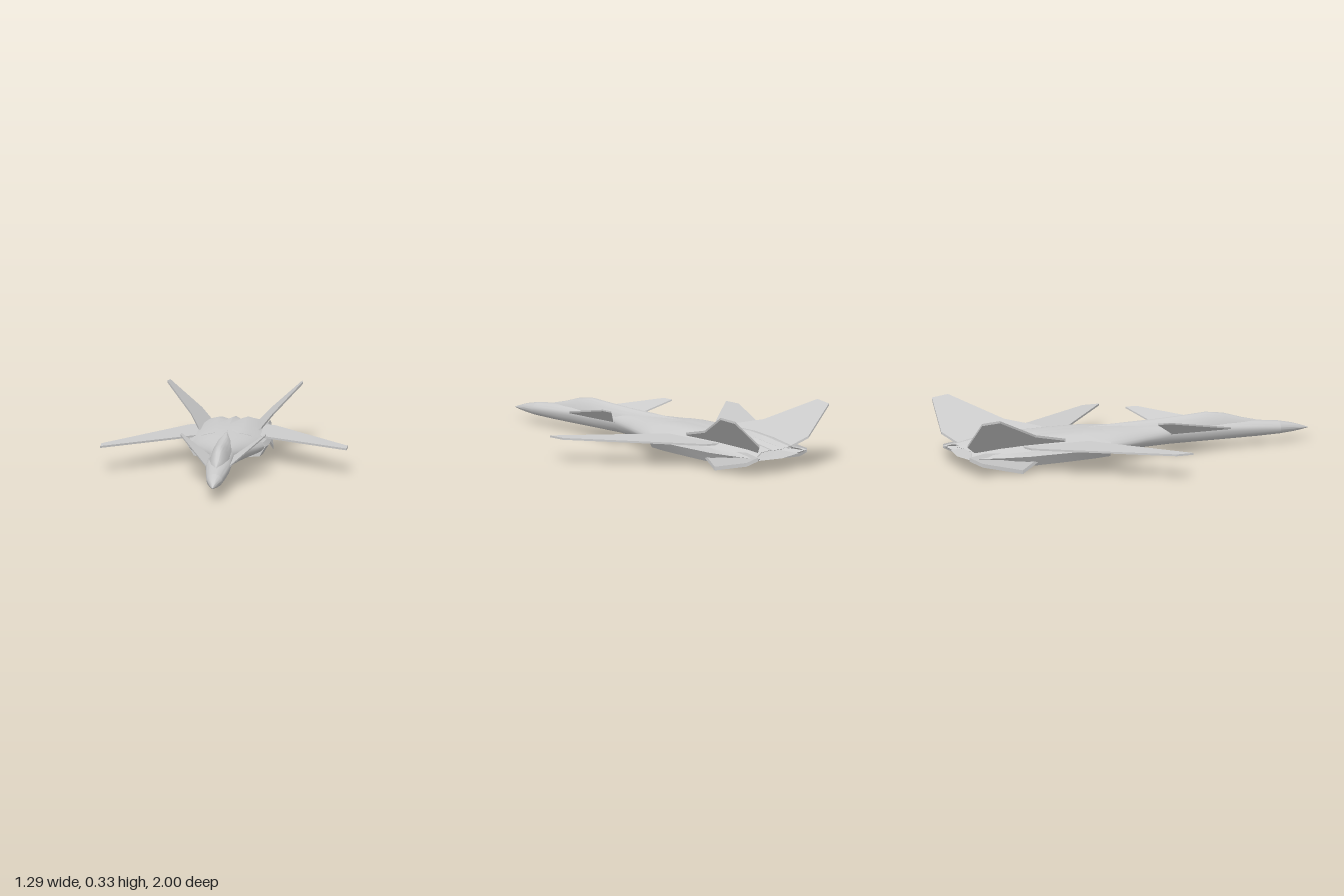
import * as THREE from 'three';
import { toCreasedNormals } from 'three/addons/utils/BufferGeometryUtils.js';

const material = new THREE.MeshStandardMaterial({ color: 0xcccccc, side: THREE.DoubleSide });

// Mirror a half section (top centre to bottom centre) into a closed ring.
function ring(half) {
  const left = half.slice(1, -1).reverse().map(([x, y, z]) => [-x, y, z]);
  return half.concat(left).map((p) => new THREE.Vector3(...p));
}

// Skin rings that run from front to back.
function loft(name, halves, smooth, crease) {
  const rings = halves.map((h) => {
    const r = ring(h);
    if (!smooth) return r;
    return new THREE.CatmullRomCurve3(r, true, 'catmullrom', 0.5).getPoints(r.length * 4).slice(0, -1);
  });
  const n = rings[0].length;
  const index = [];
  for (let i = 0; i < rings.length - 1; i++) {
    for (let j = 0; j < n; j++) {
      const k = (j + 1) % n;
      const a = i * n + j, b = i * n + k, c = b + n, d = a + n;
      index.push(a, b, c, a, c, d);
    }
  }
  const geo = new THREE.BufferGeometry().setFromPoints(rings.flat());
  geo.setIndex(index);
  const mesh = new THREE.Mesh(toCreasedNormals(geo, crease), material);
  mesh.name = name;
  return mesh;
}

// Flat panel given by its plan outline [x, z]; height is y0 + slope * (x - x0).
function panelPair(name, outline, { x0, y0, slope, thickness }) {
  const pair = new THREE.Group();
  pair.name = name + 's';
  for (const side of [1, -1]) {
    const shape = new THREE.Shape(outline.map(([x, z]) => new THREE.Vector2(side * x, -z)));
    const geo = new THREE.ExtrudeGeometry(shape, { depth: thickness, bevelEnabled: false });
    geo.rotateX(-Math.PI / 2);
    const p = geo.attributes.position;
    for (let i = 0; i < p.count; i++) {
      p.setY(i, p.getY(i) - thickness / 2 + y0 + slope * (side * p.getX(i) - x0));
    }
    geo.computeVertexNormals();
    const mesh = new THREE.Mesh(geo, material);
    mesh.name = (side > 0 ? 'left ' : 'right ') + name;
    pair.add(mesh);
  }
  return pair;
}

// Rounded fuselage section: top, half width, widest height, bottom.
const hull = ([z, top, w, mid, bot]) => [
  [0, top, z],
  [w * 0.66, mid + (top - mid) * 0.72, z],
  [w, mid, z],
  [w * 0.72, bot + (mid - bot) * 0.22, z],
  [0, bot, z],
];

export function createModel() {
  const model = new THREE.Group();
  model.name = 'jet aircraft';

  // Nose cone and forward fuselage
  const nose = [
    [1, 0.071, 0.001, 0.07, 0.069],
    [0.97, 0.082, 0.01, 0.073, 0.063],
    [0.91, 0.102, 0.026, 0.08, 0.056],
    [0.83, 0.119, 0.042, 0.086, 0.051],
  ];
  const front = [
    nose[3],
    [0.7, 0.133, 0.053, 0.096, 0.049],
    [0.53, 0.146, 0.065, 0.108, 0.049],
    [0.35, 0.153, 0.064, 0.112, 0.049],
    [0.2, 0.158, 0.064, 0.11, 0.049],
    [0.04, 0.166, 0.113, 0.106, 0.05],
    [-0.08, 0.172, 0.16, 0.104, 0.05],
    [-0.19, 0.176, 0.197, 0.102, 0.049],
    [-0.28, 0.176, 0.2, 0.1, 0.05],
  ];
  model.add(loft('nose cone', nose.map(hull), true, 0.7));
  model.add(loft('forward fuselage', front.map(hull), true, 0.7));

  // Canopy running back into a tapering spine: z, top, half width, base
  const canopy = [
    [0.73, 0.129, 0.004, 0.122],
    [0.62, 0.156, 0.034, 0.115],
    [0.52, 0.187, 0.045, 0.115],
    [0.42, 0.2, 0.05, 0.12],
    [0.3, 0.193, 0.05, 0.12],
    [0.15, 0.186, 0.049, 0.13],
    [0, 0.183, 0.042, 0.14],
    [-0.24, 0.178, 0.003, 0.165],
  ].map(([z, top, w, base]) => [
    [0, top, z],
    [w * 0.42, top - (top - base) * 0.13, z],
    [w * 0.85, base + (top - base) * 0.45, z],
    [w, base, z],
    [0, base, z],
  ]);
  model.add(loft('canopy and spine', canopy, true, 0.7));

  // Wide engine body: z, top, valley depth, half width, chine height, bottom
  const section = ([z, top, dip, w, mid, bot]) => [
    [0, top, z],
    [0.03, top - dip, z],
    [0.07, top, z],
    [0.12, top - 0.01, z],
    [w * 0.93, mid + (top - mid) * 0.3, z],
    [w, mid, z],
    [w * 0.85, bot + (mid - bot) * 0.2, z],
    [0, bot, z],
  ];
  const collapse = (y, z) => Array.from({ length: 8 }, () => [0, y, z]);
  const body = [
    [-0.19, 0.172, 0, 0.202, 0.1, 0.037],
    [-0.28, 0.177, 0, 0.215, 0.098, 0.034],
    [-0.45, 0.177, 0.004, 0.217, 0.096, 0.028],
    [-0.66, 0.174, 0.01, 0.215, 0.094, 0.022],
    [-0.8, 0.16, 0.012, 0.2, 0.095, 0.045],
    [-0.95, 0.132, 0.01, 0.18, 0.1, 0.08],
  ].map(section);
  // Zigzag rear lip, then the hollow exhaust
  const teeth = [0.04, 0, 0.02, 0, 0.02, 0.04, 0.01, 0.035];
  const last = body[body.length - 1];
  last.forEach((p, i) => { p[2] -= teeth[i]; });
  const inner = (s, dz) => last.map(([x, y, z]) => [x * s, 0.1 + (y - 0.1) * s, z + dz]);
  const engine = [collapse(0.1, -0.19), ...body, inner(0.9, 0.004), inner(0.82, 0.14), collapse(0.1, -0.82)];
  model.add(loft('engine body', engine, false, 0.45));

  // Forward-swept wings
  model.add(panelPair('wing',
    [[0.1, -0.36], [0.215, -0.27], [0.645, 0.085], [0.645, -0.01], [0.225, -0.655], [0.1, -0.7]],
    { x0: 0, y0: 0.135, slope: 0, thickness: 0.01 }));

  // Upswept canards
  model.add(panelPair('canard',
    [[0.04, 0.56], [0.07, 0.53], [0.222, 0.12], [0.222, 0.06], [0.07, 0.2], [0.04, 0.17]],
    { x0: 0.07, y0: 0.118, slope: 0.59, thickness: 0.008 }));

  // Canted tail fins
  model.add(panelPair('tail fin',
    [[0.15, -0.44], [0.165, -0.44], [0.215, -0.63], [0.355, -0.89], [0.345, -0.985],
      [0.18, -1], [0.115, -0.92], [0.14, -0.69]],
    { x0: 0.21, y0: 0.197, slope: 0.9, thickness: 0.012 }));

  // Ventral fins
  model.add(panelPair('ventral fin',
    [[0.186, -0.57], [0.212, -0.7], [0.194, -0.92], [0.181, -0.99], [0.176, -0.9]],
    { x0: 0.19, y0: 0.075, slope: -2.75, thickness: 0.02 }));

  return model;
}
